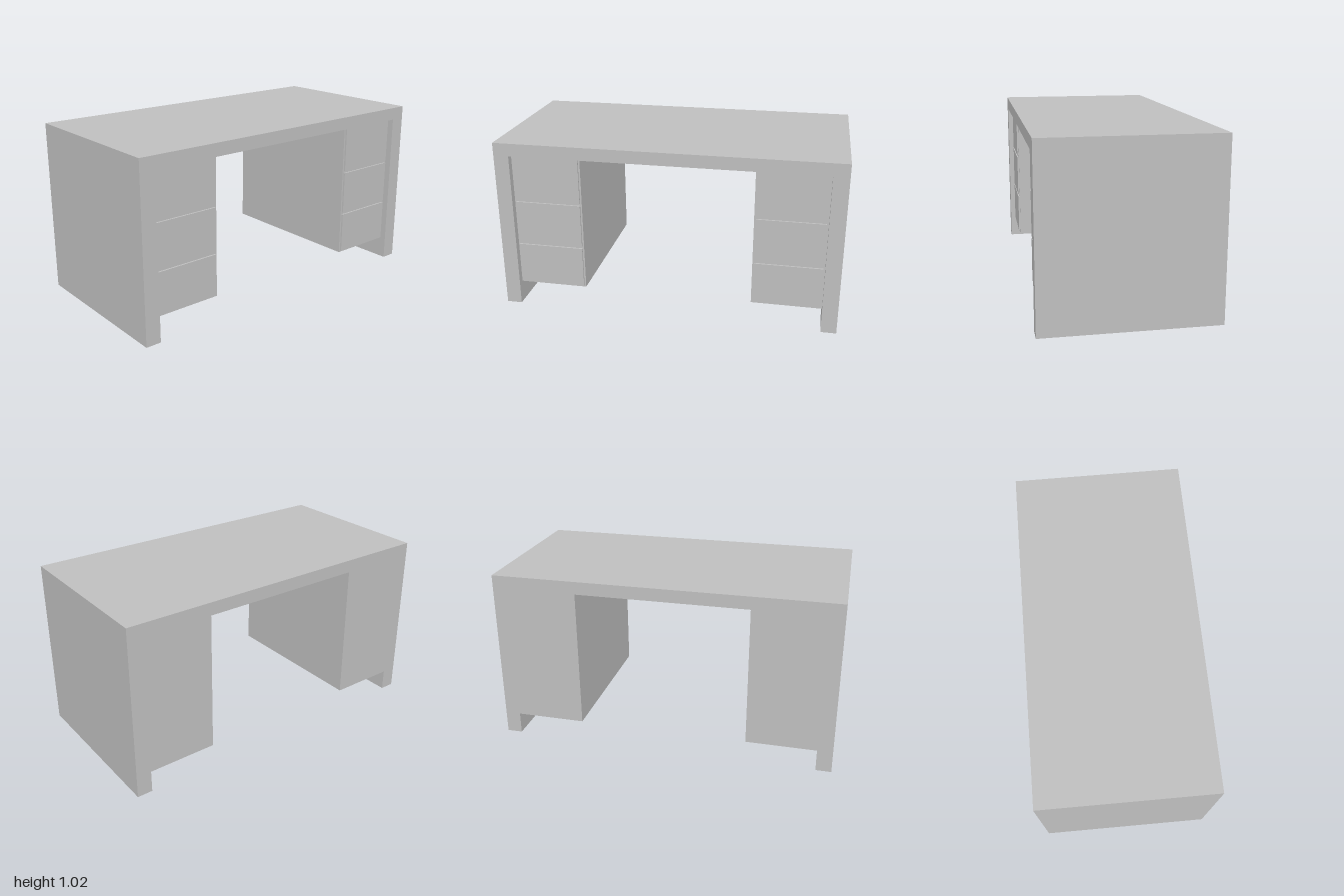
import * as THREE from 'three';

const H = 1.025, UNDER = 0.95, INNER = 0.91, DEPTH = 1;

export function createModel() {
  const model = new THREE.Group();
  model.name = 'desk';
  const grey = new THREE.MeshStandardMaterial({ color: 0xbfbfbf });
  grey.name = 'grey';

  // Box given by its limits on each axis
  const block = (name, parent, [x0, x1], [y0, y1], [z0, z1]) => {
    const mesh = new THREE.Mesh(new THREE.BoxGeometry(x1 - x0, y1 - y0, z1 - z0), grey);
    mesh.position.set((x0 + x1) / 2, (y0 + y1) / 2, (z0 + z1) / 2);
    mesh.name = name;
    parent.add(mesh);
  };

  // Desktop and side panels in one upside-down U
  const outline = new THREE.Shape([
    [-1, 0], [-INNER, 0], [-INNER, UNDER], [INNER, UNDER],
    [INNER, 0], [1, 0], [1, H], [-1, H],
  ].map(([x, y]) => new THREE.Vector2(x, y)));
  const frame = new THREE.Mesh(
    new THREE.ExtrudeGeometry(outline, { depth: DEPTH, bevelEnabled: false }), grey);
  frame.position.z = -DEPTH / 2;
  frame.name = 'topAndSidePanels';
  model.add(frame);

  // Pedestals, flush at the back and set in at the front, with three drawers each
  for (const side of [-1, 1]) {
    const pedestal = new THREE.Group();
    pedestal.name = side > 0 ? 'leftPedestal' : 'rightPedestal';
    const span = (a, b) => (side > 0 ? [a, b] : [-b, -a]);
    block('cabinet', pedestal, span(0.5, INNER), [0.13, UNDER], [-0.5, 0.46]);
    [[0.14, 0.387], [0.401, 0.66], [0.674, 0.94]].forEach((y, i) =>
      block('drawerFront' + (i + 1), pedestal, span(0.51, 0.9), y, [0.46, 0.47]));
    model.add(pedestal);
  }
  return model;
}
